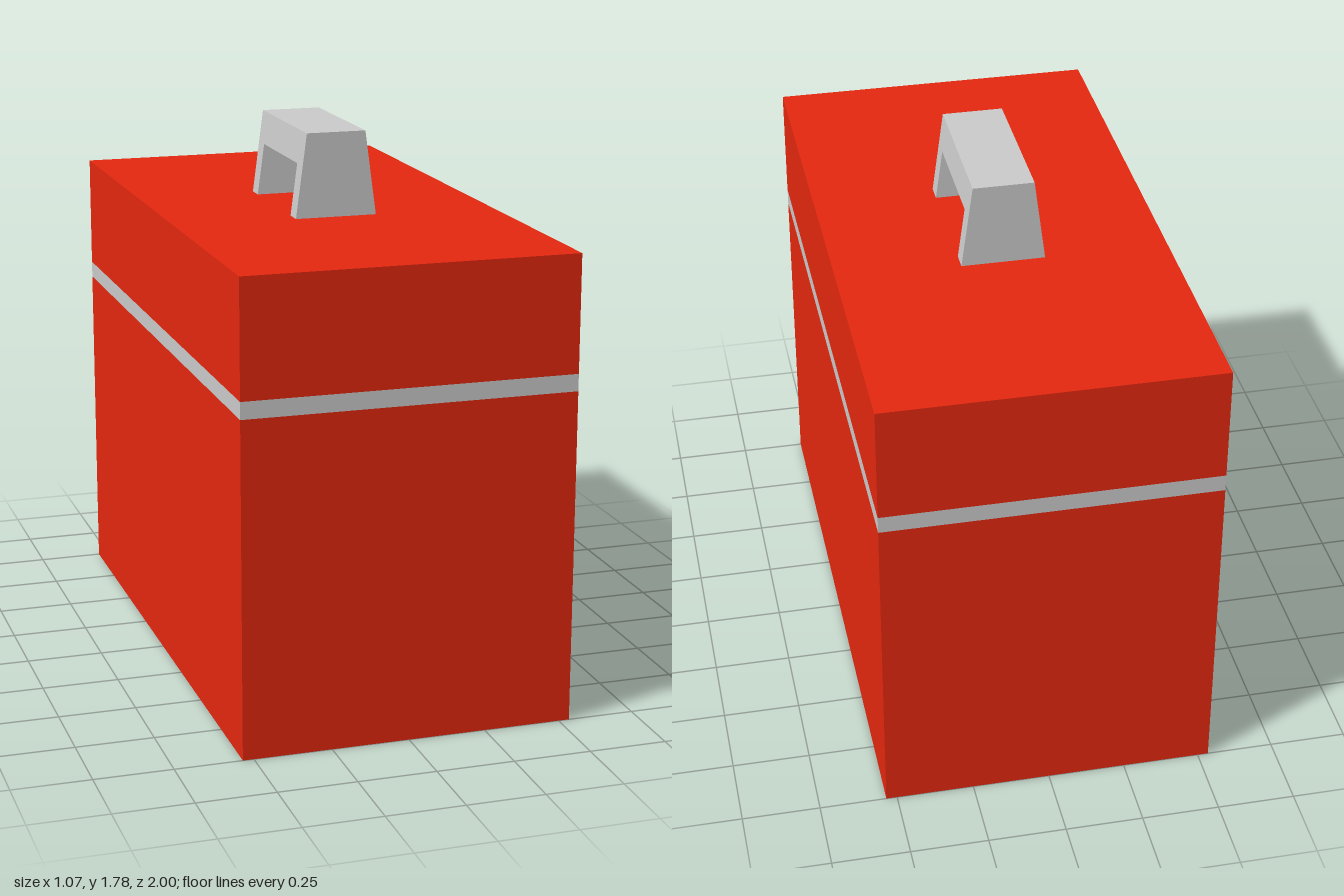
import * as THREE from 'three';

export function createModel() {
  const group = new THREE.Group();
  const red = new THREE.MeshStandardMaterial({ color: 0xe5280f });
  const grey = new THREE.MeshStandardMaterial({ color: 0xcccccc, flatShading: true });

  const add = (name, geometry, material) => {
    const mesh = new THREE.Mesh(geometry, material);
    mesh.name = name;
    group.add(mesh);
  };

  // Stacked box sections: body, trim band and lid
  const width = 1.07, length = 2;
  const section = (name, y0, y1, material) =>
    add(name, new THREE.BoxGeometry(width, y1 - y0, length).translate(0, (y0 + y1) / 2, 0), material);
  section('body', 0, 1.075, red);
  section('trimBand', 1.075, 1.13, grey);
  section('lid', 1.13, 1.505, red);

  // Handle: arch profile along z, narrowing in x towards the top
  const y0 = 1.505, y1 = 1.78;
  const arch = new THREE.Shape([
    [-0.25, y0], [-0.19, y0], [-0.19, 1.675], [0.19, 1.675],
    [0.19, y0], [0.25, y0], [0.25, y1], [-0.25, y1],
  ].map(([z, y]) => new THREE.Vector2(z, y)));
  const handle = new THREE.ExtrudeGeometry(arch, { depth: 2, bevelEnabled: false })
    .translate(0, 0, -1)
    .rotateY(-Math.PI / 2);
  const p = handle.attributes.position;
  for (let i = 0; i < p.count; i++) {
    const t = (p.getY(i) - y0) / (y1 - y0);
    p.setX(i, p.getX(i) * THREE.MathUtils.lerp(0.135, 0.098, t));
  }
  handle.computeVertexNormals();
  add('handle', handle, grey);

  return group;
}
